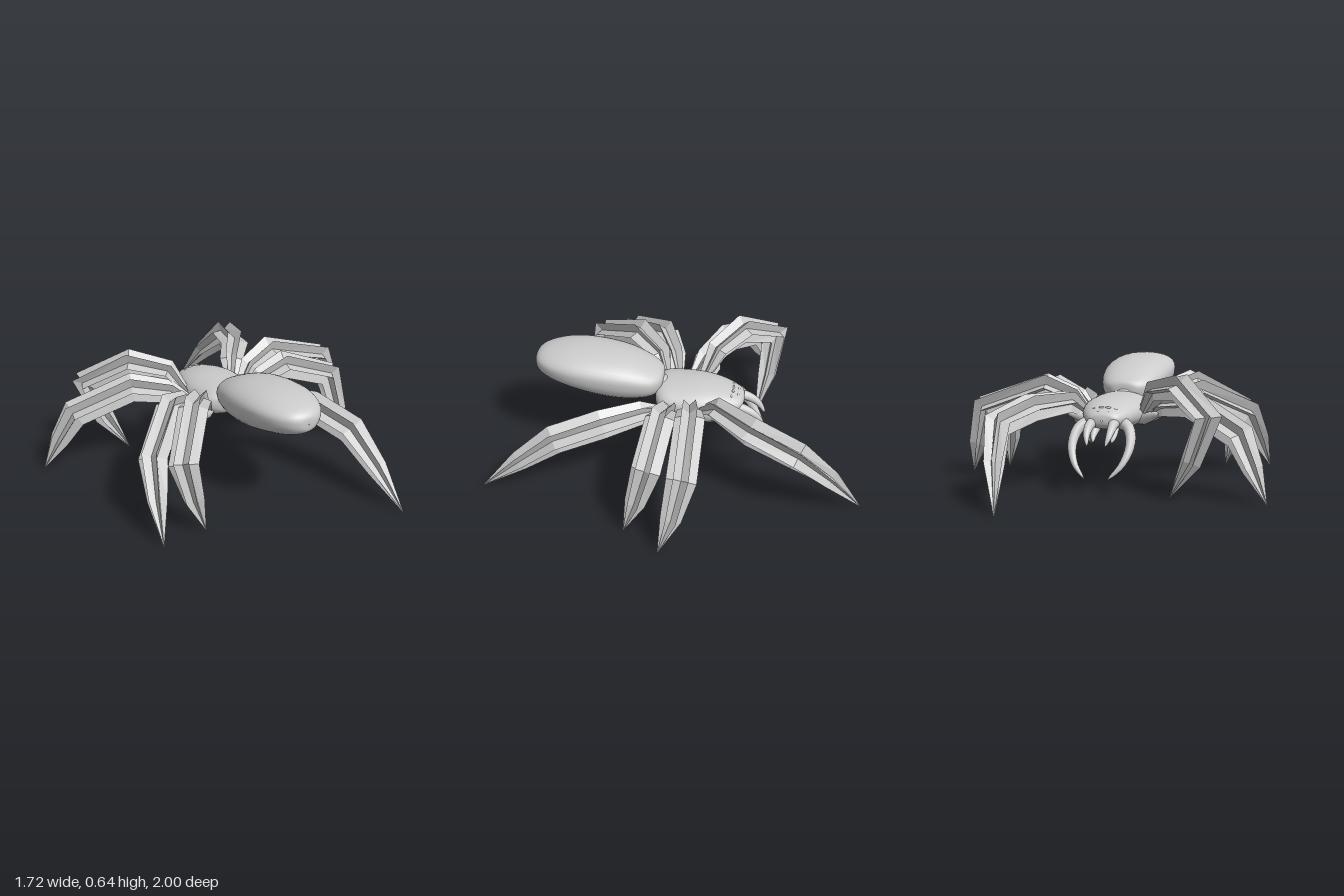
import * as THREE from 'three';

const V = (a) => new THREE.Vector3(...a);
const UP = new THREE.Vector3(0, 1, 0);
const CX = 0.01; // body axis sits slightly off centre

// Skin a list of equal-length closed rings (counter-clockwise seen from the end)
function skin(rings) {
  const n = rings[0].length, pos = [], idx = [];
  rings.forEach((r) => r.forEach((p) => pos.push(p.x, p.y, p.z)));
  for (let i = 0; i < rings.length - 1; i++) {
    for (let j = 0; j < n; j++) {
      const a = i * n + j, b = i * n + (j + 1) % n;
      idx.push(a, b, a + n, b, b + n, a + n);
    }
  }
  const g = new THREE.BufferGeometry();
  g.setAttribute('position', new THREE.Float32BufferAttribute(pos, 3));
  g.setIndex(idx);
  g.computeVertexNormals();
  return g;
}

// Sweep a round or star-shaped section along points with a radius at each one
function sweep(points, radii, sides, inner) {
  const n = points.length;
  const across = points[Math.min(3, n - 1)].clone().sub(points[0]).setY(0).cross(UP).normalize();
  return skin(points.map((p, i) => {
    const t = new THREE.Vector3();
    if (i > 0) t.add(p.clone().sub(points[i - 1]).normalize());
    if (i < n - 1) t.add(points[i + 1].clone().sub(p).normalize());
    t.normalize();
    const s = across.clone().addScaledVector(t, -across.dot(t)).normalize();
    const m = t.clone().cross(s);
    return Array.from({ length: sides }, (_, j) => {
      const a = (j / sides) * Math.PI * 2;
      const r = radii[i] * (j % 2 ? inner : 1);
      return p.clone().addScaledVector(s, Math.cos(a) * r).addScaledVector(m, Math.sin(a) * r);
    });
  }));
}

// Body loft along z; stations are [z, bottom, top, half width], widest at a fraction of the height
function bodyLoft(stations, widest) {
  const spine = new THREE.CatmullRomCurve3(stations.map(([z, b, t]) => new THREE.Vector3(b, t, z)));
  const wide = new THREE.CatmullRomCurve3(stations.map(([z, , , w]) => new THREE.Vector3(w, 0, z)));
  const full = (v) => Math.sign(v) * Math.pow(Math.abs(v), 0.92);
  const rings = [];
  for (let i = 0; i <= 48; i++) {
    const q = spine.getPoint(i / 48), w = wide.getPoint(i / 48).x;
    const mid = q.x + (q.y - q.x) * widest;
    rings.push(Array.from({ length: 32 }, (_, j) => {
      const a = (j / 32) * Math.PI * 2, s = full(Math.sin(a));
      return new THREE.Vector3(CX + w * full(Math.cos(a)), mid + s * (s > 0 ? q.y - mid : mid - q.x), q.z);
    }));
  }
  return skin(rings);
}

export function createModel() {
  const group = new THREE.Group();
  group.name = 'spider';
  const smooth = new THREE.MeshStandardMaterial({ color: 0xcccccc, side: THREE.DoubleSide });
  const faceted = new THREE.MeshStandardMaterial({ color: 0xcccccc, flatShading: true, side: THREE.DoubleSide });
  const add = (name, geo, mat = smooth) => {
    const mesh = new THREE.Mesh(geo, mat);
    mesh.name = name;
    group.add(mesh);
    return mesh;
  };

  // Abdomen and head-thorax
  add('abdomen', bodyLoft([
    [0.088, 0.47, 0.48, 0.003], [0.095, 0.43, 0.52, 0.07], [0.14, 0.39, 0.55, 0.125],
    [0.27, 0.37, 0.605, 0.17], [0.42, 0.385, 0.632, 0.187], [0.57, 0.42, 0.638, 0.178],
    [0.68, 0.452, 0.625, 0.142], [0.745, 0.48, 0.605, 0.095], [0.772, 0.505, 0.58, 0.05], [0.778, 0.54, 0.545, 0.003],
  ], 0.62));
  add('headThorax', bodyLoft([
    [-0.345, 0.37, 0.38, 0.003], [-0.335, 0.345, 0.41, 0.07], [-0.29, 0.325, 0.435, 0.108],
    [-0.21, 0.31, 0.46, 0.143], [-0.12, 0.30, 0.475, 0.163], [0, 0.30, 0.478, 0.166], [0.075, 0.31, 0.475, 0.155],
    [0.115, 0.335, 0.465, 0.115], [0.13, 0.38, 0.45, 0.04], [0.132, 0.41, 0.42, 0.003],
  ], 0.5));
  const waist = add('waist', new THREE.SphereGeometry(0.06, 16, 12));
  waist.position.set(CX, 0.43, 0.11);

  // Paired head parts
  for (const side of [-1, 1]) {
    const horn = (name, pts, r0) => {
      const curve = new THREE.CatmullRomCurve3(pts.map(([x, y, z]) => new THREE.Vector3(CX + side * x, y, z)));
      const p = curve.getPoints(14);
      add(name, sweep(p, p.map((_, i) => r0 * Math.pow(1 - i / 14, 0.55) + 0.001), 12, 1));
    };
    horn('outerFang', [[0.085, 0.36, -0.26], [0.135, 0.33, -0.30], [0.155, 0.25, -0.36], [0.125, 0.16, -0.42], [0.062, 0.09, -0.46]], 0.034);
    horn('innerFang', [[0.055, 0.365, -0.28], [0.062, 0.35, -0.36], [0.06, 0.31, -0.42], [0.048, 0.26, -0.455]], 0.03);
    horn('mouthSpike', [[0.05, 0.33, -0.26], [0.055, 0.29, -0.31], [0.05, 0.26, -0.34]], 0.022);
    for (const [x, y, z] of [[0.018, 0.436, -0.285], [0.053, 0.428, -0.28], [0.025, 0.418, -0.312], [0.08, 0.41, -0.27]]) {
      const eye = add('eye', new THREE.SphereGeometry(0.01, 10, 8));
      eye.scale.set(1.5, 0.8, 0.7);
      eye.position.set(CX + side * x, y, z);
    }
  }

  // Legs: hip, thigh, top joint, knee, shin, tip
  const legs = {
    leftFirstLeg: [[0.15, 0.37, -0.12], [0.22, 0.45, -0.22], [0.37, 0.44, -0.41], [0.465, 0.385, -0.66], [0.42, 0.22, -0.83], [0.36, 0, -1]],
    leftSecondLeg: [[0.16, 0.36, -0.05], [0.25, 0.455, -0.08], [0.39, 0.51, -0.10], [0.74, 0.385, -0.105], [0.80, 0.18, -0.06], [0.855, 0, 0]],
    leftThirdLeg: [[0.16, 0.36, 0.02], [0.25, 0.43, 0.035], [0.38, 0.485, 0.055], [0.665, 0.365, 0.085], [0.69, 0.17, 0.14], [0.715, 0, 0.2]],
    leftFourthLeg: [[0.15, 0.36, 0.08], [0.22, 0.385, 0.18], [0.34, 0.38, 0.37], [0.42, 0.315, 0.61], [0.445, 0.17, 0.8], [0.465, 0, 1]],
    rightFirstLeg: [[-0.14, 0.37, -0.1], [-0.23, 0.515, -0.17], [-0.39, 0.555, -0.29], [-0.57, 0.425, -0.46], [-0.48, 0.2, -0.43], [-0.36, 0, -0.38]],
    rightSecondLeg: [[-0.15, 0.36, -0.04], [-0.26, 0.43, -0.1], [-0.43, 0.46, -0.2], [-0.71, 0.325, -0.335], [-0.785, 0.17, -0.38], [-0.865, 0, -0.42]],
    rightThirdLeg: [[-0.15, 0.36, 0.03], [-0.26, 0.44, 0.07], [-0.40, 0.48, 0.14], [-0.63, 0.345, 0.35], [-0.68, 0.18, 0.47], [-0.725, 0, 0.6]],
    rightFourthLeg: [[-0.14, 0.36, 0.09], [-0.22, 0.47, 0.14], [-0.34, 0.51, 0.27], [-0.55, 0.36, 0.51], [-0.515, 0.17, 0.55], [-0.47, 0, 0.585]],
  };
  const radii = [0.026, 0.064, 0.078, 0.078, 0.055, 0.002];
  for (const [name, raw] of Object.entries(legs)) {
    const pts = raw.map(V);
    add(name, sweep(pts, radii, 12, 0.38), faceted);
    // Smooth hip lobe joining the leg to the body
    const out = pts[2].clone().sub(pts[0]).setY(0).normalize();
    const p = [-0.06, -0.03, 0.02, 0.07, 0.12, 0.14].map((d) => pts[0].clone().addScaledVector(out, d).setY(0.35 + Math.max(d, 0) * 0.35));
    add(name + 'Hip', sweep(p, [0.02, 0.028, 0.03, 0.027, 0.018, 0.002], 12, 1));
  }
  return group;
}
